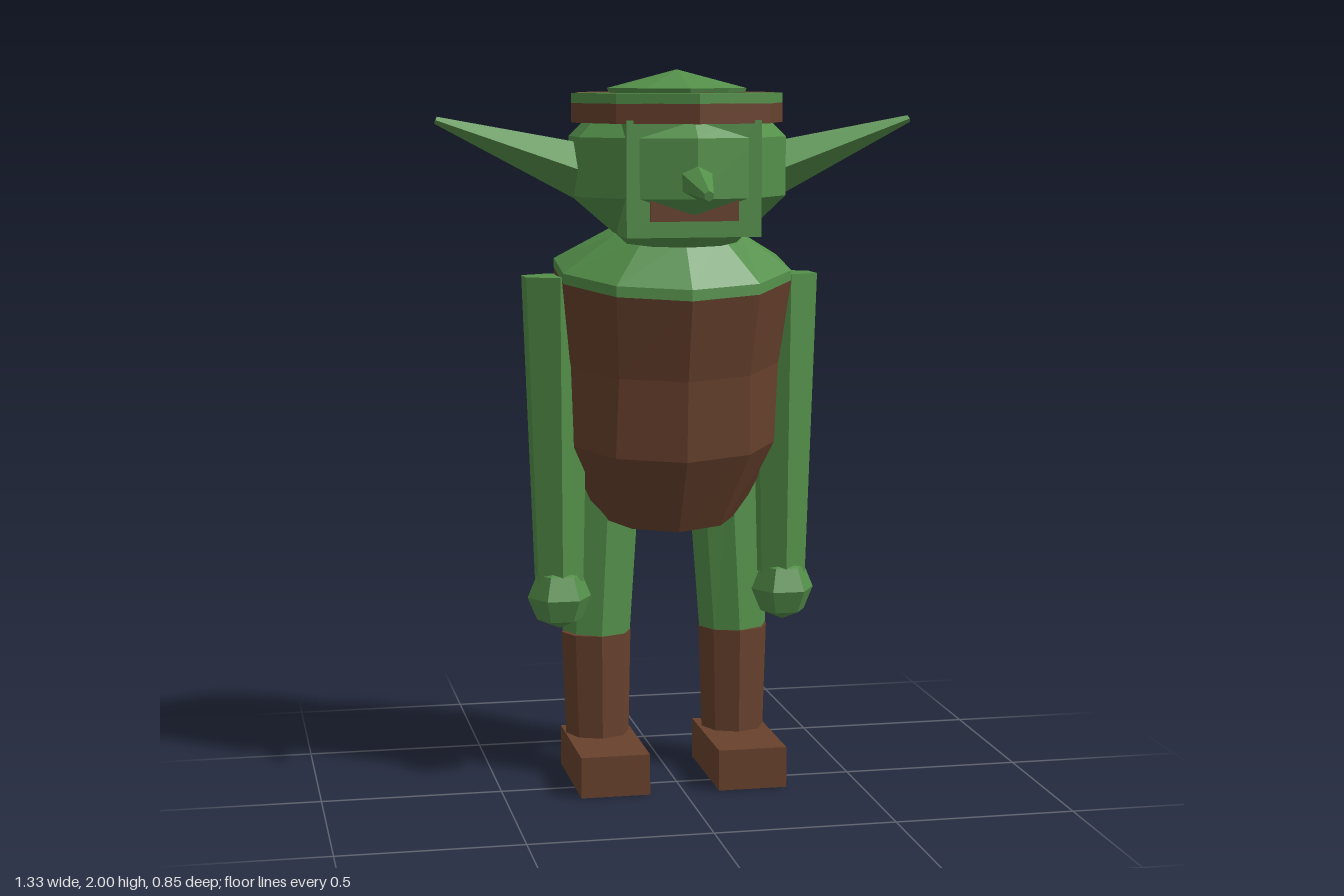
import * as THREE from 'three';

const green = new THREE.MeshStandardMaterial({ color: 0x54904a });
green.name = 'skin green';
const brown = new THREE.MeshStandardMaterial({ color: 0x68412d });
brown.name = 'leather brown';

// Turn any geometry into a flat-faced mesh
function part(parent, name, geometry, material) {
  const flat = geometry.index ? geometry.toNonIndexed() : geometry;
  flat.computeVertexNormals();
  const mesh = new THREE.Mesh(flat, material);
  mesh.name = name;
  parent.add(mesh);
  return mesh;
}

// Skin tilted elliptical rings, bottom to top: [frontZ, frontY, backZ, backY, radiusX]
function loft(rings, sides = 10) {
  const pos = [];
  const point = ([fz, fy, bz, by, rx], i) => {
    const a = (i / sides) * Math.PI * 2, c = Math.cos(a);
    return [Math.sin(a) * rx, (fy + by) / 2 + c * (fy - by) / 2, (fz + bz) / 2 + c * (fz - bz) / 2];
  };
  const first = rings[0], last = rings[rings.length - 1];
  const middle = ([fz, fy, bz, by]) => [0, (fy + by) / 2, (fz + bz) / 2];
  for (let i = 0; i < sides; i++) {
    for (let r = 0; r < rings.length - 1; r++) {
      const a = point(rings[r], i), b = point(rings[r], i + 1);
      const c = point(rings[r + 1], i + 1), d = point(rings[r + 1], i);
      pos.push(...a, ...b, ...c, ...a, ...c, ...d);
    }
    pos.push(...middle(first), ...point(first, i + 1), ...point(first, i));
    pos.push(...middle(last), ...point(last, i), ...point(last, i + 1));
  }
  const g = new THREE.BufferGeometry();
  g.setAttribute('position', new THREE.Float32BufferAttribute(pos, 3));
  return g;
}

// Tapered limb between two points
function limb(from, to, r0, r1, sides) {
  const a = new THREE.Vector3(...from), b = new THREE.Vector3(...to);
  const dir = b.clone().sub(a);
  const g = new THREE.CylinderGeometry(r1, r0, dir.length(), sides);
  g.applyQuaternion(new THREE.Quaternion().setFromUnitVectors(new THREE.Vector3(0, 1, 0), dir.normalize()));
  return g.translate(...a.add(b).multiplyScalar(0.5).toArray());
}

function box(w, h, d, x, y, z) {
  return new THREE.BoxGeometry(w, h, d).translate(x, y, z);
}

// Stripes on the octagonal brim, one beside each corner
function brimStripes(radius, inner, width, y, zc) {
  const pos = [];
  for (let k = 0; k < 8; k++) {
    const a = (k * Math.PI) / 4, s = Math.sin(a), c = Math.cos(a);
    const at = (r, t) => [s * r + c * t, y, c * r - s * t + zc];
    const p = at(inner, 0), q = at(radius, 0);
    const u = at(radius - width * Math.tan(Math.PI / 8), width), v = at(inner, width);
    pos.push(...p, ...q, ...u, ...p, ...u, ...v);
  }
  const g = new THREE.BufferGeometry();
  g.setAttribute('position', new THREE.Float32BufferAttribute(pos, 3));
  return g;
}

export function createModel() {
  const model = new THREE.Group();
  model.name = 'goblin';

  // Hunched body
  part(model, 'tunic', loft([
    [0.037, 0.725, -0.39, 0.80, 0.215],
    [0.148, 0.937, -0.423, 1.026, 0.32],
    [0.164, 1.16, -0.365, 1.243, 0.31],
    [0.217, 1.385, -0.339, 1.49, 0.336],
  ]), brown);
  part(model, 'shouldersAndNeck', loft([
    [0.217, 1.385, -0.339, 1.49, 0.336],
    [0.215, 1.415, -0.337, 1.515, 0.336],
    [0.12, 1.545, -0.19, 1.575, 0.184],
  ]), green);

  // Head
  const head = new THREE.Group();
  head.name = 'head';
  model.add(head);
  part(head, 'skull', loft([
    [0.16, 1.525, -0.09, 1.545, 0.16],
    [0.285, 1.66, -0.277, 1.66, 0.3],
    [0.285, 1.82, -0.277, 1.82, 0.3],
    [0.235, 1.87, -0.225, 1.87, 0.25],
  ]), green);
  part(head, 'face', box(0.366, 0.31, 0.15, 0, 1.712, 0.165), green);
  part(head, 'mouth', box(0.24, 0.06, 0.008, 0, 1.63, 0.241), brown);
  part(head, 'nose', limb([0, 1.71, 0.24], [0, 1.675, 0.422], 0.053, 0.014, 6), green);

  // Cap with striped brim
  const cap = new THREE.Group();
  cap.name = 'cap';
  model.add(cap);
  part(cap, 'capBand', new THREE.CylinderGeometry(0.294, 0.294, 0.053, 8).translate(0, 1.884, 0.014), brown);
  part(cap, 'capBrim', new THREE.CylinderGeometry(0.294, 0.294, 0.027, 8).translate(0, 1.9235, 0.014), green);
  part(cap, 'brimStripes', brimStripes(0.293, 0.15, 0.092, 1.939, 0.014), brown);
  part(cap, 'capCrown', loft([
    [0.18, 1.93, -0.18, 1.93, 0.185],
    [0.187, 1.95, -0.187, 1.95, 0.192],
    [0.002, 2.0, -0.002, 2.0, 0.002],
  ]), green);

  // Ears, arms and legs on both sides
  for (const [side, s] of [['left', 1], ['right', -1]]) {
    part(model, side + 'Ear', limb([s * 0.24, 1.718, 0], [s * 0.66, 1.865, 0], 0.08, 0.01, 4), green);
    part(model, side + 'Arm', limb([s * 0.32, 0.58, -0.085], [s * 0.325, 1.435, -0.095], 0.073, 0.1, 6), green);
    part(model, side + 'Hand', new THREE.SphereGeometry(0.09, 6, 4).translate(s * 0.322, 0.535, -0.068), green);
    part(model, side + 'Leg', limb([s * 0.2, 0.41, -0.173], [s * 0.175, 0.9, -0.185], 0.098, 0.108, 8), green);
    part(model, side + 'BootShaft', limb([s * 0.198, 0.02, -0.165], [s * 0.2, 0.41, -0.173], 0.088, 0.1, 8), brown);
    part(model, side + 'Boot', box(0.194, 0.115, 0.365, s * 0.195, 0.0575, -0.068), brown);
  }
  return model;
}
